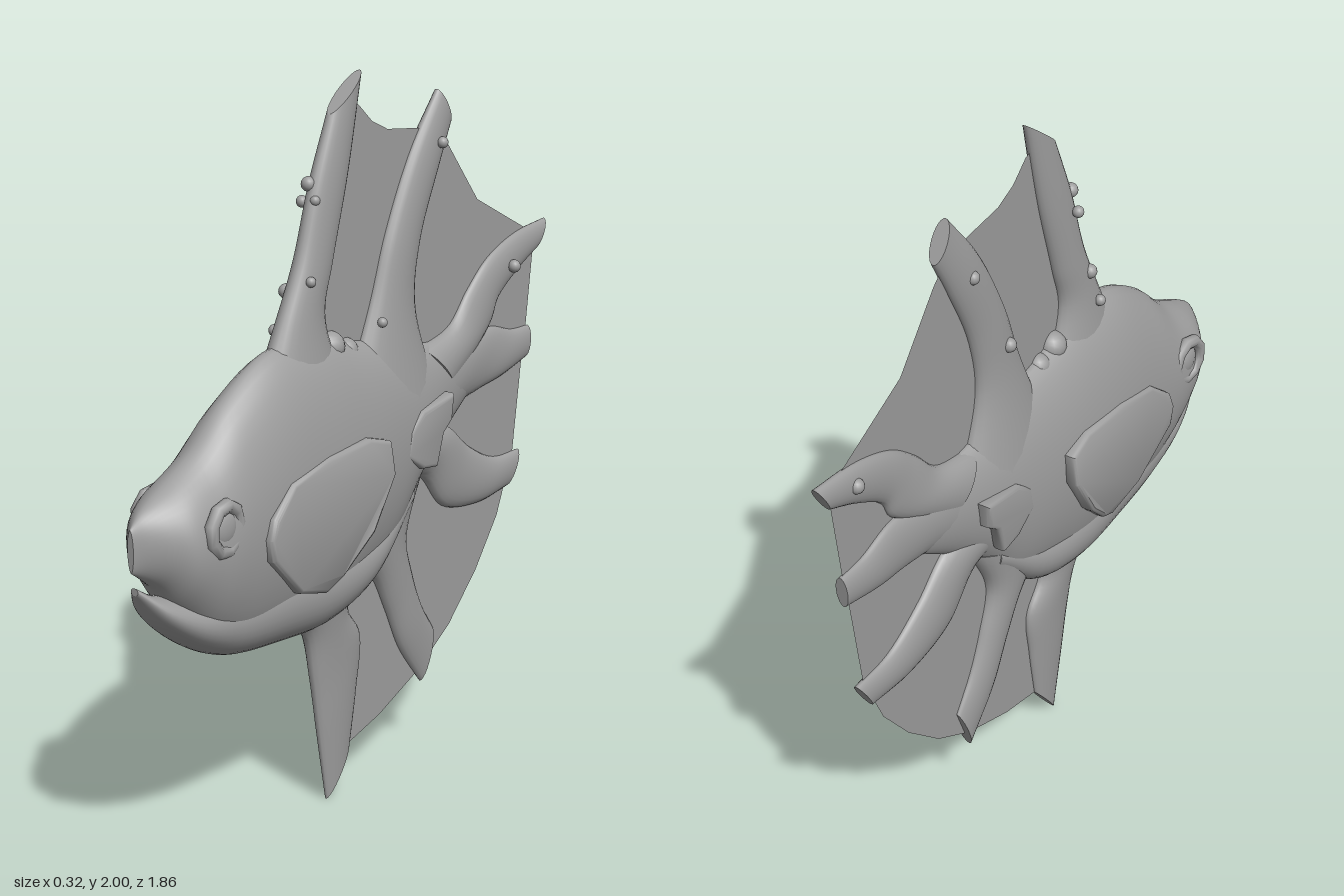
import * as THREE from 'three';
import { toCreasedNormals } from 'three/addons/utils/BufferGeometryUtils.js';

const color = 0x9e9e9e;
const material = new THREE.MeshStandardMaterial({ color });
const thinMaterial = new THREE.MeshStandardMaterial({ color, side: THREE.DoubleSide });

// the spine leans slightly sideways toward the tail
const LEAN = 0.028, OFFSET = -0.008;
const spineX = (z) => OFFSET + LEAN * z;

// Closed loft. Each station is [z, y of one edge, z, y of the other edge, half thickness].
function loft(name, stations, { steps = 28, sides = 24, power = 1 } = {}) {
  const curve = (f) => new THREE.CatmullRomCurve3(stations.map(f));
  const edgeA = curve((s) => new THREE.Vector3(s[4], s[1], s[0]));
  const edgeB = curve((s) => new THREE.Vector3(s[4], s[3], s[2]));
  const rings = [];
  for (let i = 0; i <= steps; i++) {
    rings.push({ a: edgeA.getPoint(i / steps), b: edgeB.getPoint(i / steps), k: 1 });
  }
  // flat caps: a repeated ring, then one shrunk to a point
  const first = rings[0], last = rings[steps];
  rings.unshift({ ...first, k: 0 }, { ...first });
  rings.push({ ...last }, { ...last, k: 0 });

  // winding follows the direction of travel
  const [z0, y0, z1, y1] = stations[0];
  const s = stations[stations.length - 1];
  const dz = s[0] + s[2] - z0 - z1, dy = s[1] + s[3] - y0 - y1;
  const turn = Math.sign((z0 - z1) * dy - (y0 - y1) * dz) || 1;

  const positions = [], index = [];
  rings.forEach(({ a, b, k }, i) => {
    for (let j = 0; j < sides; j++) {
      const t = (j / sides) * Math.PI * 2;
      const c = (Math.cos(t) * k) / 2, sn = Math.sin(t);
      const z = (a.z + b.z) / 2 + (a.z - b.z) * c;
      const y = (a.y + b.y) / 2 + (a.y - b.y) * c;
      const x = turn * Math.sign(sn) * Math.abs(sn) ** power * a.x * k;
      positions.push(spineX(z) + x, y, z);
      if (i < rings.length - 1) {
        const p = i * sides + j, q = i * sides + ((j + 1) % sides);
        index.push(p, q, p + sides, q, q + sides, p + sides);
      }
    }
  });
  const geometry = new THREE.BufferGeometry();
  geometry.setAttribute('position', new THREE.Float32BufferAttribute(positions, 3));
  geometry.setIndex(index);
  geometry.computeVertexNormals();
  const mesh = new THREE.Mesh(geometry, material);
  mesh.name = name;
  return mesh;
}

const outline = (points) => new THREE.Shape(points.map(([z, y]) => new THREE.Vector2(z, y)));

// Remaps a (z, y, depth) geometry to (x, y, z)
function toSide(geometry, xOf) {
  const p = geometry.attributes.position;
  for (let i = 0; i < p.count; i++) {
    const z = p.getX(i), y = p.getY(i), d = p.getZ(i);
    p.setXYZ(i, xOf(z, y, d), y, z);
  }
  geometry.computeVertexNormals();
  return geometry;
}

// Bevelled plate lying against the flank
function sideFin(name, points, xOf) {
  const geometry = toSide(new THREE.ExtrudeGeometry(outline(points), {
    depth: 0.02, bevelThickness: 0.012, bevelSize: 0.012, bevelOffset: -0.012, bevelSegments: 3,
  }), xOf);
  const mesh = new THREE.Mesh(toCreasedNormals(geometry, 0.7), material);
  mesh.name = name;
  return mesh;
}

function ball(name, x, y, z, r, flat = 1) {
  const mesh = new THREE.Mesh(new THREE.SphereGeometry(r, 16, 12), material);
  mesh.position.set(x, y, z);
  mesh.scale.x = flat;
  mesh.name = name;
  return mesh;
}

export function createModel() {
  const model = new THREE.Group();
  model.name = 'fish';

  // body and lower jaw, nose to tail
  model.add(loft('body', [
    [0.93, 1.0, 0.93, 0.89, 0.01], [0.9, 1.03, 0.89, 0.86, 0.045], [0.86, 1.055, 0.85, 0.825, 0.08],
    [0.8, 1.085, 0.8, 0.755, 0.116], [0.7, 1.14, 0.7, 0.65, 0.127], [0.58, 1.24, 0.58, 0.585, 0.13],
    [0.4, 1.33, 0.4, 0.56, 0.13], [0.22, 1.33, 0.22, 0.55, 0.125], [0.05, 1.29, 0.05, 0.6, 0.112],
    [-0.1, 1.26, -0.1, 0.66, 0.095], [-0.25, 1.22, -0.23, 0.8, 0.075], [-0.4, 1.2, -0.35, 0.9, 0.052],
    [-0.55, 1.18, -0.5, 1.0, 0.028],
  ], { steps: 66, sides: 40, power: 1.15 }));
  model.add(loft('lowerJaw', [
    [0.92, 0.85, 0.92, 0.83, 0.012], [0.86, 0.815, 0.85, 0.73, 0.06], [0.74, 0.78, 0.74, 0.64, 0.085],
    [0.6, 0.78, 0.6, 0.575, 0.09], [0.4, 0.8, 0.4, 0.545, 0.098], [0.2, 0.78, 0.2, 0.535, 0.095],
    [0, 0.78, 0, 0.59, 0.08], [-0.2, 0.86, -0.2, 0.76, 0.05],
  ], { steps: 40, sides: 32, power: 1.1 }));

  // fin spines, each from its root in the body to a slanted tip
  const spines = {
    frontDorsalSpine: [
      [0.42, 1.25, 0.1, 1.2, 0.065], [0.345, 1.39, 0.165, 1.39, 0.045], [0.27, 1.54, 0.13, 1.52, 0.039],
      [0.205, 1.73, 0.06, 1.74, 0.034], [0.13, 1.9, -0.005, 2.0, 0.025],
    ],
    rearDorsalSpine: [
      [0.08, 1.1, -0.34, 1.08, 0.078], [-0.05, 1.37, -0.245, 1.34, 0.045], [-0.12, 1.55, -0.27, 1.51, 0.038],
      [-0.23, 1.75, -0.36, 1.7, 0.033], [-0.36, 1.91, -0.42, 1.81, 0.023],
    ],
    upperTailSpine: [
      [-0.28, 1.2, -0.42, 1.06, 0.055], [-0.43, 1.235, -0.57, 1.155, 0.04], [-0.52, 1.32, -0.64, 1.21, 0.031],
      [-0.62, 1.395, -0.67, 1.265, 0.027], [-0.76, 1.445, -0.78, 1.335, 0.024], [-0.93, 1.465, -0.88, 1.38, 0.018],
    ],
    middleTailSpine: [
      [-0.25, 1.19, -0.25, 0.88, 0.062], [-0.5, 1.19, -0.42, 0.985, 0.042], [-0.65, 1.19, -0.57, 1.015, 0.028],
      [-0.76, 1.16, -0.7, 1.03, 0.024], [-0.85, 1.155, -0.84, 1.06, 0.018],
    ],
    lowerTailSpine: [
      [-0.2, 1.0, -0.13, 0.84, 0.06], [-0.41, 0.95, -0.28, 0.83, 0.045], [-0.53, 0.86, -0.4, 0.71, 0.035],
      [-0.67, 0.79, -0.58, 0.67, 0.027], [-0.81, 0.78, -0.75, 0.68, 0.018],
    ],
    rearBellySpine: [
      [-0.28, 0.85, 0.1, 0.71, 0.06], [-0.205, 0.69, -0.05, 0.6, 0.047], [-0.24, 0.56, -0.12, 0.48, 0.038],
      [-0.29, 0.45, -0.19, 0.34, 0.032], [-0.36, 0.35, -0.3, 0.2, 0.02],
    ],
    frontBellySpine: [
      [0.32, 0.6, 0.05, 0.68, 0.065], [0.25, 0.52, 0.07, 0.55, 0.048], [0.22, 0.38, 0.005, 0.45, 0.037],
      [0.19, 0.2, 0.02, 0.3, 0.028], [0.155, 0, 0.05, 0.13, 0.017],
    ],
  };
  for (const [name, stations] of Object.entries(spines)) model.add(loft(name, stations));

  // thin web stretched between the spines
  const web = new THREE.Mesh(toSide(new THREE.ShapeGeometry(outline([
    [0, 1.91], [-0.06, 1.86], [-0.13, 1.83], [-0.27, 1.815], [-0.36, 1.8], [-0.42, 1.75], [-0.57, 1.575],
    [-0.82, 1.455], [-0.87, 1.37], [-0.84, 1.15], [-0.82, 1.05], [-0.78, 0.78], [-0.7, 0.6], [-0.59, 0.46],
    [-0.45, 0.33], [-0.3, 0.24], [-0.1, 0.165], [0.05, 0.13], [0.12, 0.5], [0.1, 0.9], [0.22, 1.3],
    [0.2, 1.5], [0.1, 1.8], [0.04, 1.92],
  ])), spineX), thinMaterial);
  web.name = 'finWeb';
  model.add(web);

  // eyes and flank fins, mirrored about the leaning spine
  for (const side of ['right', 'left']) {
    const flank = new THREE.Group();
    flank.name = side + 'Side';
    flank.scale.x = side === 'left' ? -1 : 1;
    flank.rotation.y = LEAN;
    flank.position.x = OFFSET;
    flank.add(sideFin('pectoralFin', [
      [0.57, 0.9], [0.55, 0.95], [0.46, 1.02], [0.3, 1.05], [0.12, 1.057], [0.03, 1.03], [0.03, 0.94],
      [0.12, 0.8], [0.23, 0.7], [0.29, 0.67], [0.42, 0.71], [0.56, 0.84],
    ], (z, y, d) => -0.12 - d + 0.85 * (y - 0.89) ** 2));
    flank.add(sideFin('pelvicFin', [
      [-0.1, 0.94], [-0.12, 1.01], [-0.18, 1.055], [-0.33, 1.075], [-0.32, 1.0], [-0.28, 0.97],
      [-0.25, 0.88], [-0.18, 0.89],
    ], (z, y, d) => -0.062 - d));
    const rim = new THREE.Mesh(new THREE.TorusGeometry(0.06, 0.019, 10, 9), material);
    rim.rotation.y = Math.PI / 2 - 0.1;
    rim.position.set(-0.113, 0.965, 0.71);
    rim.name = 'eyeRim';
    flank.add(rim, ball('eye', -0.11, 0.965, 0.71, 0.045, 0.4));
    model.add(flank);
  }

  // small round growths on the spines: x, y, z, radius
  const growths = [
    [-0.015, 1.73, 0.2, 0.02], [0.01, 1.69, 0.205, 0.014], [-0.045, 1.68, 0.19, 0.016],
    [0.035, 1.49, 0.255, 0.014], [-0.035, 1.46, 0.27, 0.02], [-0.05, 1.36, 0.3, 0.016],
    [0.045, 1.33, -0.035, 0.014], [0.018, 1.77, -0.34, 0.016], [0.005, 1.36, -0.72, 0.019],
    [-0.045, 1.72, -0.29, 0.018], [-0.05, 1.45, -0.14, 0.02], [-0.05, 1.4, -0.79, 0.02],
  ];
  growths.forEach(([x, y, z, r]) => model.add(ball('growth', x, y, z, r)));
  // soft bumps behind the first spine
  [[1.29, 0.13, 0.042], [1.265, 0.06, 0.035]].forEach(([y, z, r]) => model.add(ball('backBump', spineX(z), y, z, r)));
  return model;
}
